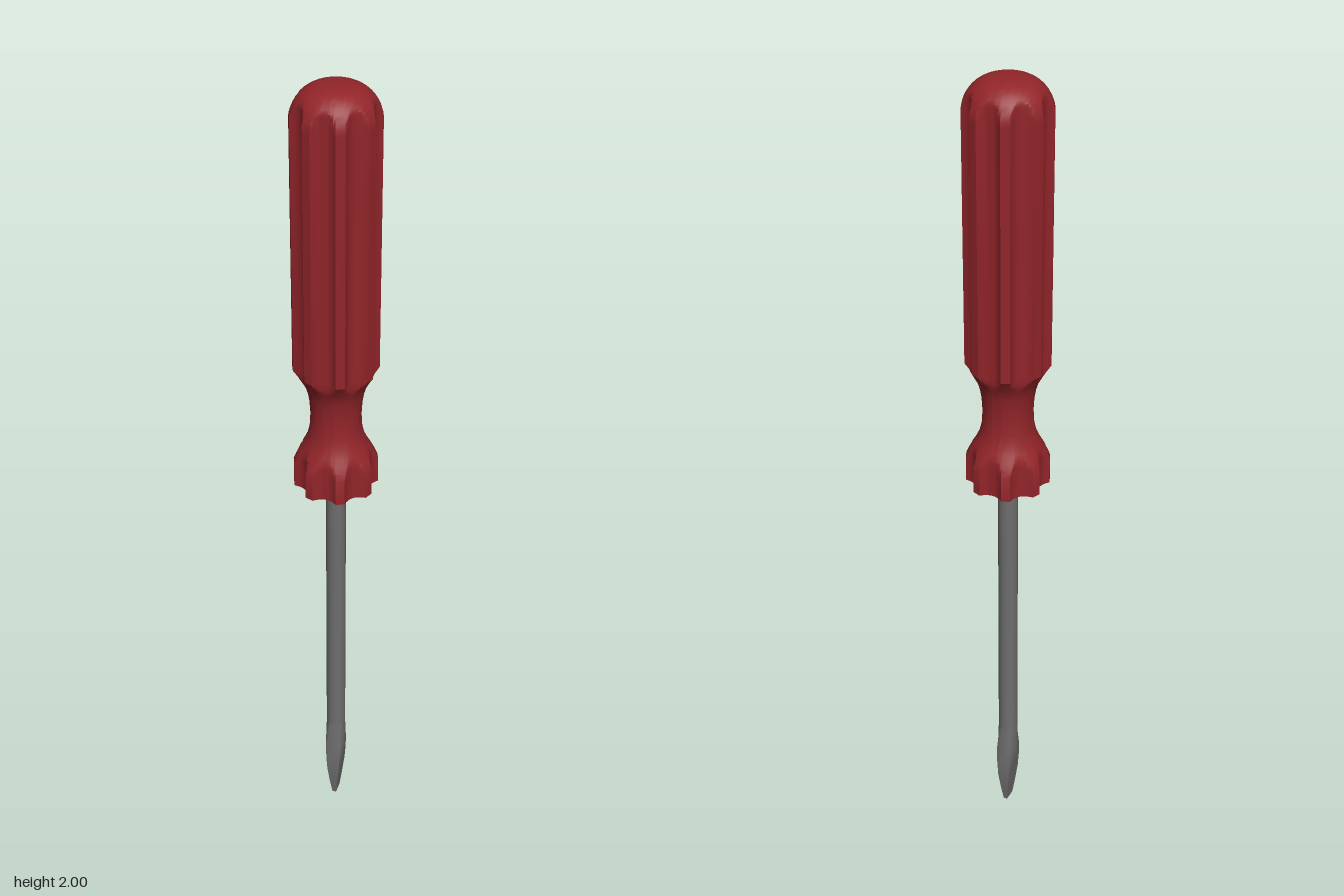
import * as THREE from 'three';
import { toCreasedNormals } from 'three/addons/utils/BufferGeometryUtils.js';

// Skins a stack of equal-sized rings, listed from bottom to top.
function loft(rings, capBottom, capTop, crease) {
  const n = rings[0].length;
  const pos = rings.flat(2);
  const index = [];
  for (let r = 0; r < rings.length - 1; r++) {
    for (let i = 0; i < n; i++) {
      const a = r * n + i, b = r * n + (i + 1) % n;
      index.push(a, a + n, b, b, a + n, b + n);
    }
  }
  const cap = (ring, start, up) => {
    const c = pos.length / 3;
    pos.push(0, ring[0][1], 0);
    for (let i = 0; i < n; i++) {
      const a = start + i, b = start + (i + 1) % n;
      if (up) index.push(c, b, a); else index.push(c, a, b);
    }
  };
  if (capBottom) cap(rings[0], 0, false);
  if (capTop) cap(rings[rings.length - 1], (rings.length - 1) * n, true);
  const g = new THREE.BufferGeometry();
  g.setAttribute('position', new THREE.Float32BufferAttribute(pos, 3));
  g.setIndex(index);
  return toCreasedNormals(g, crease);
}

// Handle outline seen from above: eight concave flutes between flat ridges.
function flutedOutline() {
  const pts = [];
  for (let k = 0; k < 8; k++) {
    const a = k * Math.PI / 4, c = Math.cos(a), s = Math.sin(a);
    for (let j = -4; j <= 4; j++) {
      const t = j / 4, u = 0.082 + 0.013 * t * t, v = 0.028 * t;
      pts.push([u * c - v * s, u * s + v * c]);
    }
  }
  return pts;
}

export function createModel() {
  const red = new THREE.MeshStandardMaterial({ color: 0x92252a });
  red.name = 'red handle';
  const steel = new THREE.MeshStandardMaterial({ color: 0x6e6e6e });
  steel.name = 'grey steel';
  const brown = new THREE.MeshStandardMaterial({ color: 0x6a5348 });
  brown.name = 'brown underside';

  const model = new THREE.Group();
  const add = (name, geometry, material) => {
    const mesh = new THREE.Mesh(geometry, material);
    mesh.name = name;
    model.add(mesh);
  };

  // Handle: the outline is limited by a turned profile (height, radius)
  const outline = flutedOutline();
  const profile = [[1.01, 0.1], [1.075, 0.1], [1.09, 0.093], [1.105, 0.085], [1.12, 0.076],
    [1.14, 0.067], [1.165, 0.061], [1.2, 0.059], [1.235, 0.061], [1.26, 0.065],
    [1.28, 0.071], [1.295, 0.079], [1.308, 0.087], [1.325, 0.1], [1.92, 0.1]];
  for (let i = 1; i <= 12; i++) {
    const a = i / 12 * Math.PI / 2 * 0.98;
    profile.push([1.92 + 0.08 * Math.sin(a), 0.025 + 0.075 * Math.cos(a)]);
  }
  const handleRings = profile.map(([y, radius]) => outline.map(([x, z]) => {
    const k = Math.min(1, radius / Math.hypot(x, z));
    return [x * k, y, z * k];
  }));
  add('handle', loft(handleRings, false, true, 0.55), red);

  // Underside of the handle
  const underside = new THREE.ShapeGeometry(
    new THREE.Shape(outline.map(([x, z]) => new THREE.Vector2(x, z))));
  underside.rotateX(Math.PI / 2);
  underside.translate(0, 1.01, 0);
  add('handleUnderside', underside, brown);

  // Round shaft
  const shaft = new THREE.CylinderGeometry(0.024, 0.024, 0.78, 16, 1, true);
  shaft.translate(0, 0.63, 0);
  add('shaft', shaft, steel);

  // Flat blade: height, half sizes in x and z, blend from round to rectangular
  const sections = [[0, 0.005, 0.016, 1], [0.04, 0.0095, 0.023, 1], [0.09, 0.0155, 0.029, 0.9],
    [0.13, 0.02, 0.03, 0.7], [0.175, 0.0255, 0.029, 0.35], [0.21, 0.0245, 0.027, 0.15],
    [0.25, 0.024, 0.024, 0]];
  const bladeRings = sections.map(([y, hx, hz, t]) => Array.from({ length: 16 }, (_, i) => {
    const a = i / 16 * Math.PI * 2, c = Math.cos(a), s = Math.sin(a);
    const k = 1 - t + t / Math.max(Math.abs(c), Math.abs(s));
    return [c * k * hx, y, s * k * hz];
  }));
  add('bladeTip', loft(bladeRings, true, false, 0.6), steel);

  return model;
}
